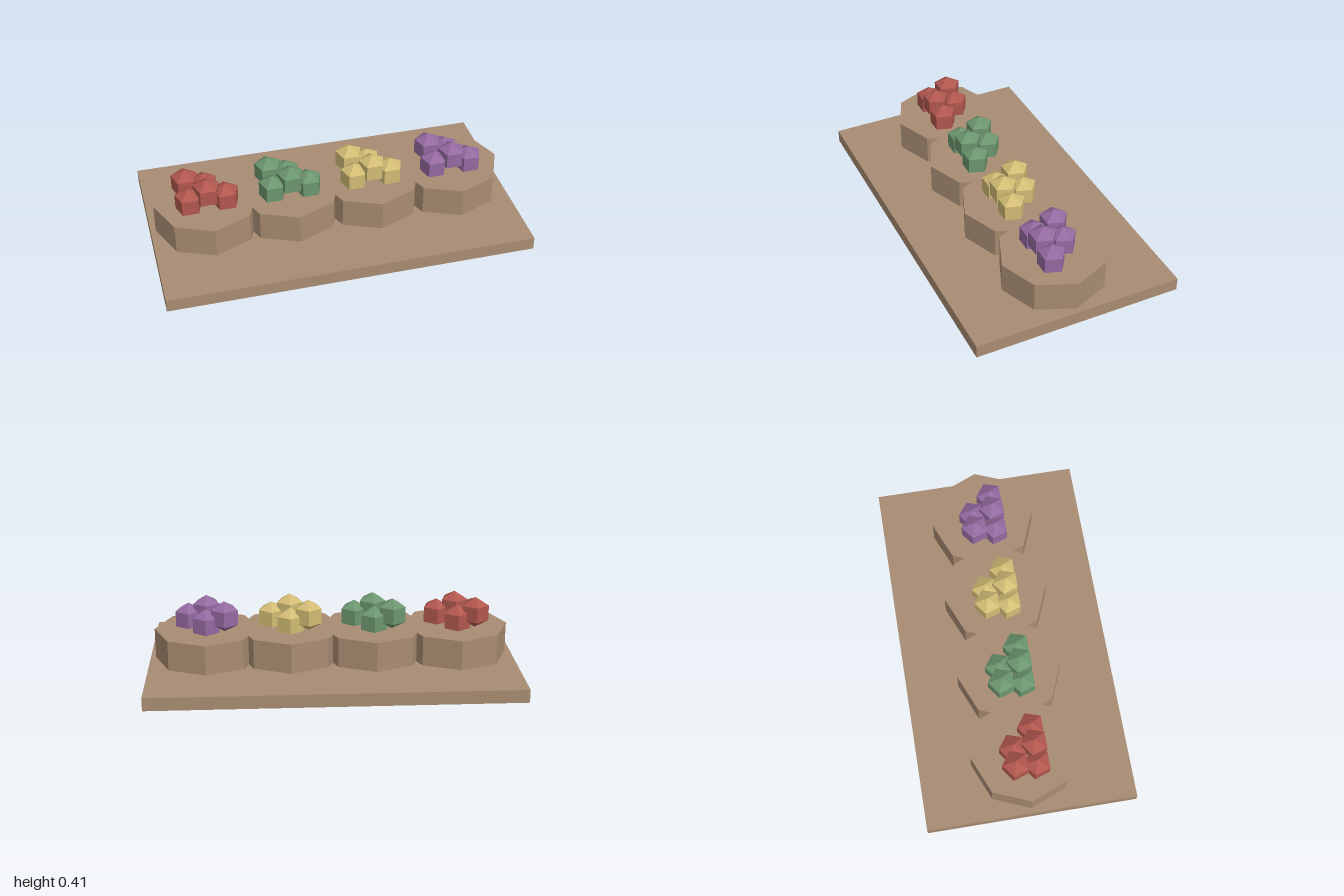
import * as THREE from 'three';

const paint = (name, color) => {
  const material = new THREE.MeshStandardMaterial({ color, flatShading: true });
  material.name = name;
  return material;
};

const wood = paint('wood', 0xa88c72);
const fruitColours = [
  paint('red', 0xb1574e),
  paint('green', 0x6c966f),
  paint('yellow', 0xd2bc74),
  paint('purple', 0x946aa0),
];

export function createModel() {
  const model = new THREE.Group();
  model.name = 'displayBoard';

  const add = (parent, name, geometry, material, x, y, z) => {
    const mesh = new THREE.Mesh(geometry, material);
    mesh.name = name;
    mesh.position.set(x, y, z);
    parent.add(mesh);
    return mesh;
  };

  const unit = 2 / 7;
  const baseHeight = 0.072;
  const plinthTop = 0.238;

  // Flat rectangular base
  add(model, 'base', new THREE.BoxGeometry(2, baseHeight, 4 * unit), wood, 0, baseHeight / 2, 0);

  // Overlapping octagonal plinths, each with a cluster of five faceted balls
  const plinthHeight = plinthTop - baseHeight;
  const plinth = new THREE.CylinderGeometry(unit, unit, plinthHeight, 8);
  const ballRadius = 0.3 * unit;
  const ball = new THREE.SphereGeometry(ballRadius, 5, 3).rotateY(-Math.PI / 2);

  fruitColours.forEach((material, i) => {
    const x = (i - 1.5) * 1.6 * unit;
    add(model, 'plinth', plinth, wood, x, baseHeight + plinthHeight / 2, 0);

    const cluster = new THREE.Group();
    cluster.name = 'ballCluster';
    cluster.position.set(x, plinthTop, 0);
    model.add(cluster);

    // Low and raised balls alternate in a checker pattern
    for (let n = 0; n < 5; n++) {
      const column = n % 3;
      const row = Math.floor(n / 3);
      const raised = (column + row) % 2;
      add(cluster, 'ball', ball, material,
        (column - 1) * 0.35 * unit,
        ballRadius * (raised ? 1 : 0.5),
        (row ? -0.2 : 0.2) * unit);
    }
  });

  return model;
}
